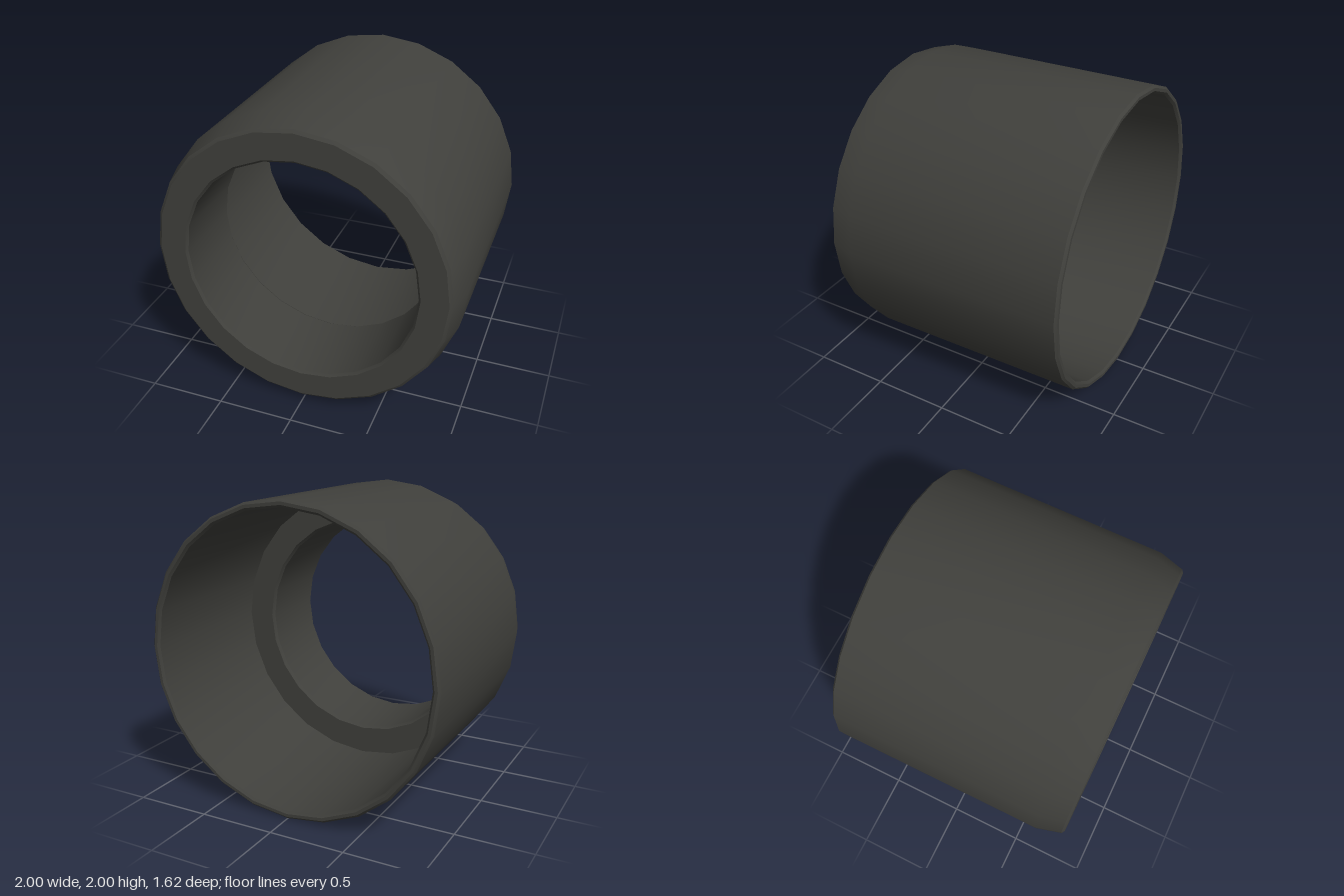
import * as THREE from 'three';
import { toCreasedNormals } from 'three/addons/utils/BufferGeometryUtils.js';

export function createModel() {
  const group = new THREE.Group();
  const material = new THREE.MeshStandardMaterial({ color: 0x40403c });

  // Closed cross-section as [radius, z], outside from back to front, then inside back again
  const profile = [
    // back rim and outer wall
    [0.965, -0.81], [0.985, -0.81], [1, -0.795], [1, 0.63],
    // tapered nose and front rim
    [0.955, 0.795], [0.935, 0.81], [0.765, 0.81], [0.75, 0.795],
    // narrow front bore, inner shoulder, wide rear bore
    [0.75, 0.275], [0.765, 0.255], [0.95, 0.255], [0.95, -0.795], [0.965, -0.81],
  ].map(([r, z]) => new THREE.Vector2(r, z));

  // 24-sided sleeve, axis turned from y to z
  const lathe = new THREE.LatheGeometry(profile, 24);
  lathe.rotateX(Math.PI / 2);
  const sleeve = new THREE.Mesh(toCreasedNormals(lathe, 0.5), material);
  sleeve.name = 'sleeve';
  sleeve.position.y = 1;
  group.add(sleeve);

  return group;
}
